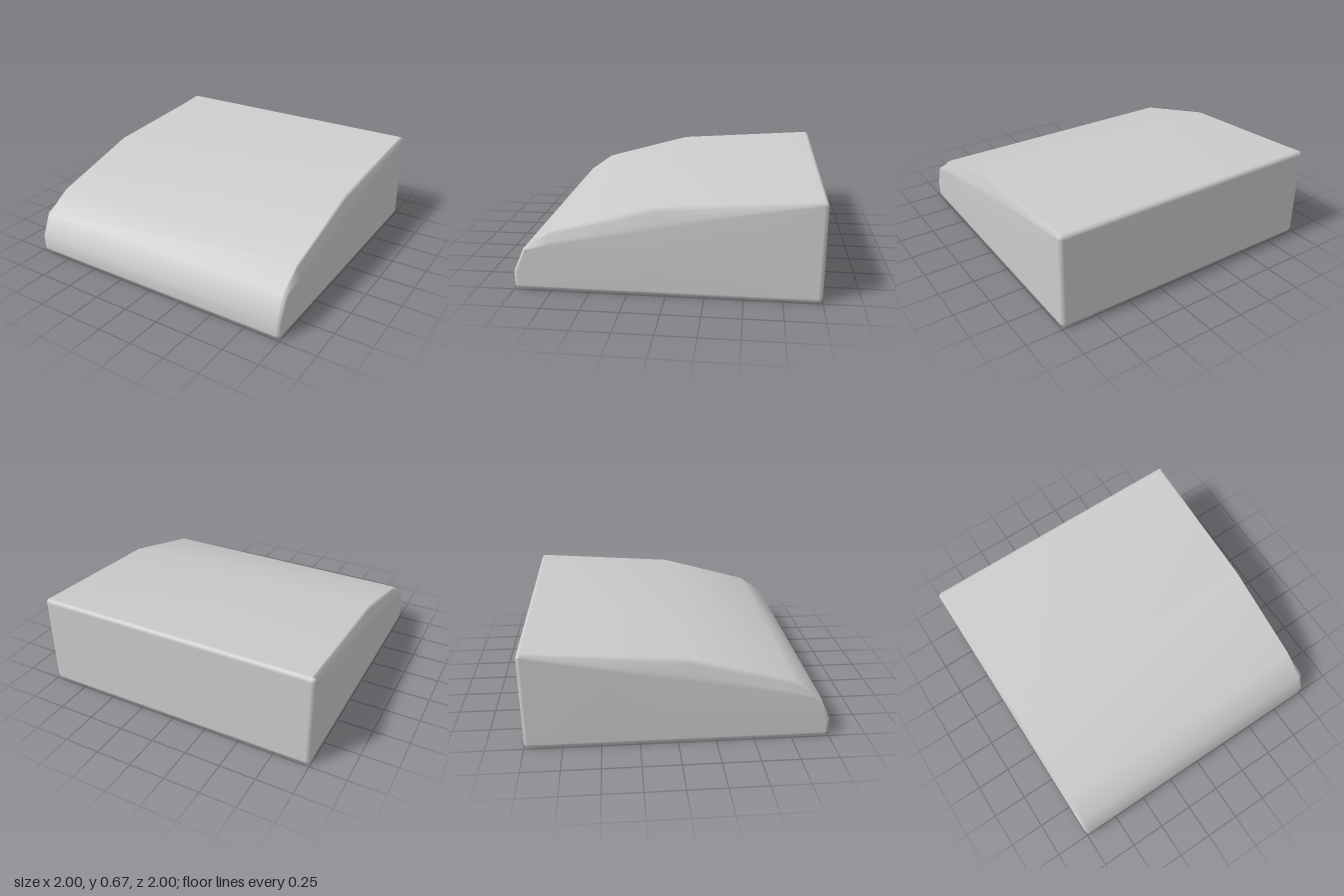
import * as THREE from 'three';

const R = 0.03; // edge radius

// Quarter-round corner in the (z, y) plane
function corner(z, y, from, steps = 4) {
  return Array.from({ length: steps + 1 }, (_, i) => {
    const a = from + (i / steps) * Math.PI / 2;
    return [z + R * Math.cos(a), y + R * Math.sin(a)];
  });
}

// Side outline as [z, y], up the front, over the top and down the back
const profile = [
  ...corner(0.97, R, -Math.PI / 2),
  [1, 0.125], [0.93, 0.28], [0.75, 0.408], [0.07, 0.597],
  ...corner(-0.97, 0.638, Math.PI / 2),
  ...corner(-0.97, R, Math.PI),
];

// Flat side panel: inset outline whose top runs straight from front to back
function inset([z, y]) {
  const chord = 0.29 + (0.9 - z) * 0.19;
  const front = 0.97 - Math.max(0, y - 0.125) * 0.4;
  const nz = Math.max(-0.97, Math.min(front, z));
  return [nz, Math.max(R, Math.min(y, chord))];
}

function wedgeGeometry() {
  const n = profile.length, steps = 4;
  const position = [], index = [];

  // Rings from the right panel to the left panel
  const rings = [];
  for (let i = 0; i <= steps; i++) rings.push([-1, 1 - i / steps]);
  for (let i = 0; i <= steps; i++) rings.push([1, i / steps]);

  for (const [side, t] of rings) {
    const a = t * Math.PI / 2;
    for (const p of profile) {
      const q = inset(p);
      // the tall upper flanks are flat, the other edges are rounded
      const flank = p[1] - q[1] > 0.05;
      const k = flank ? t : 1 - Math.cos(a);
      const x = side * (1 - R + R * (flank ? t : Math.sin(a)));
      position.push(x, p[1] + (q[1] - p[1]) * k, p[0] + (q[0] - p[0]) * k);
    }
  }
  for (let j = 0; j < rings.length - 1; j++) {
    for (let i = 0; i < n; i++) {
      const k = (i + 1) % n;
      const a = j * n + i, b = a + n, c = (j + 1) * n + k, d = j * n + k;
      index.push(a, b, c, a, c, d);
    }
  }

  // Side panels as fans
  const right = position.length / 3, left = right + 1;
  position.push(-1, 0.2, -0.1, 1, 0.2, -0.1);
  const last = (rings.length - 1) * n;
  for (let i = 0; i < n; i++) {
    const k = (i + 1) % n;
    index.push(right, i, k, left, last + k, last + i);
  }

  const g = new THREE.BufferGeometry();
  g.setAttribute('position', new THREE.Float32BufferAttribute(position, 3));
  g.setIndex(index);
  g.computeVertexNormals();
  return g;
}

export function createModel() {
  const group = new THREE.Group();
  group.name = 'wedgeBlock';
  const body = new THREE.Mesh(
    wedgeGeometry(),
    new THREE.MeshStandardMaterial({ color: 0xcccccc })
  );
  body.name = 'body';
  group.add(body);
  return group;
}
